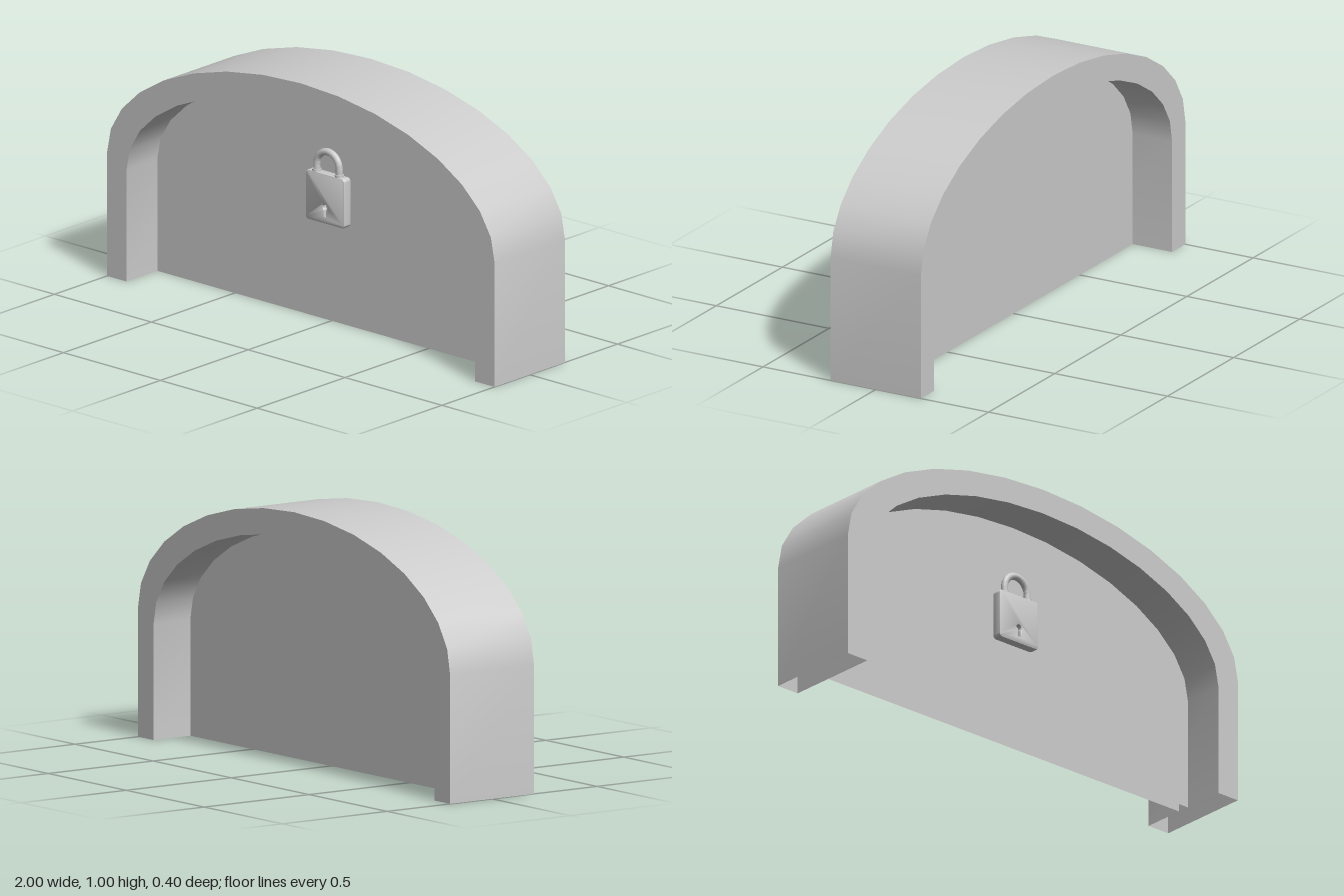
import * as THREE from 'three';
import { toCreasedNormals } from 'three/addons/utils/BufferGeometryUtils.js';

const material = new THREE.MeshStandardMaterial({ color: 0xcccccc, side: THREE.DoubleSide });

// Arch outline from right foot over the top to left foot; s = overall scale
function archPoints(s, steps = 16) {
  const pts = [new THREE.Vector2(s, 0)];
  for (let i = 0; i <= steps; i++) {
    const a = (i / steps) * Math.PI;
    pts.push(new THREE.Vector2(s * Math.cos(a), s * (0.5 + 0.5 * Math.sin(a))));
  }
  pts.push(new THREE.Vector2(-s, 0));
  return pts;
}

// Open wall swept along z, smooth around the curve
function wallGeometry(pts, halfDepth) {
  const pos = [];
  for (let i = 0; i < pts.length - 1; i++) {
    const p = pts[i], q = pts[i + 1], h = halfDepth;
    pos.push(p.x, p.y, h, p.x, p.y, -h, q.x, q.y, -h);
    pos.push(p.x, p.y, h, q.x, q.y, -h, q.x, q.y, h);
  }
  const g = new THREE.BufferGeometry();
  g.setAttribute('position', new THREE.Float32BufferAttribute(pos, 3));
  return toCreasedNormals(g, 0.55);
}

function add(parent, name, geometry, x = 0, y = 0, z = 0) {
  const mesh = new THREE.Mesh(geometry, material);
  mesh.name = name;
  mesh.position.set(x, y, z);
  parent.add(mesh);
  return mesh;
}

function roundedRect(w, y0, y1, r) {
  const s = new THREE.Shape();
  s.moveTo(-w + r, y0);
  s.lineTo(w - r, y0);
  s.absarc(w - r, y0 + r, r, -Math.PI / 2, 0);
  s.lineTo(w, y1 - r);
  s.absarc(w - r, y1 - r, r, 0, Math.PI / 2);
  s.lineTo(-w + r, y1);
  s.absarc(-w + r, y1 - r, r, Math.PI / 2, Math.PI);
  s.lineTo(-w, y0 + r);
  s.absarc(-w + r, y0 + r, r, Math.PI, Math.PI * 1.5);
  return s;
}

function createPadlock() {
  const lock = new THREE.Group();
  lock.name = 'padlock';

  // Body with bevelled edges and a keyhole
  const body = roundedRect(0.1, 0.4, 0.6, 0.015);
  const keyhole = new THREE.Path();
  keyhole.moveTo(-0.005, 0.43);
  keyhole.lineTo(-0.005, 0.455);
  keyhole.absarc(0, 0.466, 0.012, Math.PI * 1.36, -Math.PI * 0.36, true);
  keyhole.lineTo(0.005, 0.43);
  body.holes.push(keyhole);
  const bodyGeo = new THREE.ExtrudeGeometry(body, {
    depth: 0.028, bevelThickness: 0.006, bevelSize: 0.005, bevelOffset: -0.005,
    bevelSegments: 2, curveSegments: 6,
  });
  add(lock, 'padlockBody', toCreasedNormals(bodyGeo, 0.5), 0, 0, 0.031);
  add(lock, 'keyholeBack', new THREE.PlaneGeometry(0.05, 0.08), 0, 0.46, 0.045);

  // Shackle: two legs joined by a half circle
  const r = 0.058, top = 0.628, z = 0.045;
  const path = new THREE.CurvePath();
  const v = (x, y) => new THREE.Vector3(x, y, z);
  const pts = [v(r, 0.59), v(r, 0.61)];
  for (let i = 0; i <= 12; i++) {
    const a = (i / 12) * Math.PI;
    pts.push(v(r * Math.cos(a), top + r * Math.sin(a)));
  }
  pts.push(v(-r, 0.61), v(-r, 0.59));
  for (let i = 0; i < pts.length - 1; i++) path.add(new THREE.LineCurve3(pts[i], pts[i + 1]));
  add(lock, 'shackle', new THREE.TubeGeometry(path, 40, 0.014, 10));

  // Collars where the shackle enters the body
  for (const side of [-1, 1]) {
    add(lock, 'shackleCollar', new THREE.CylinderGeometry(0.018, 0.018, 0.01, 16), side * r, 0.602, z);
  }
  return lock;
}

export function createModel() {
  const model = new THREE.Group();
  model.name = 'archedPanel';
  const outer = archPoints(1), inner = archPoints(0.9);

  // Hollow arch frame, open at the feet
  const frame = new THREE.Group();
  frame.name = 'archFrame';
  model.add(frame);
  add(frame, 'outerWall', wallGeometry(outer, 0.2));
  add(frame, 'innerWall', wallGeometry([...inner].reverse(), 0.2));
  const rim = new THREE.ShapeGeometry(new THREE.Shape([...outer, ...[...inner].reverse()]));
  add(frame, 'frontRim', rim, 0, 0, 0.2);
  add(frame, 'backRim', rim, 0, 0, -0.2).rotation.y = Math.PI;

  // Middle panel: a front and a back skin
  const skin = new THREE.ShapeGeometry(new THREE.Shape(inner));
  add(model, 'panelFront', skin, 0, 0, 0.025);
  add(model, 'panelBack', skin, 0, 0, -0.025).rotation.y = Math.PI;

  model.add(createPadlock());
  return model;
}
